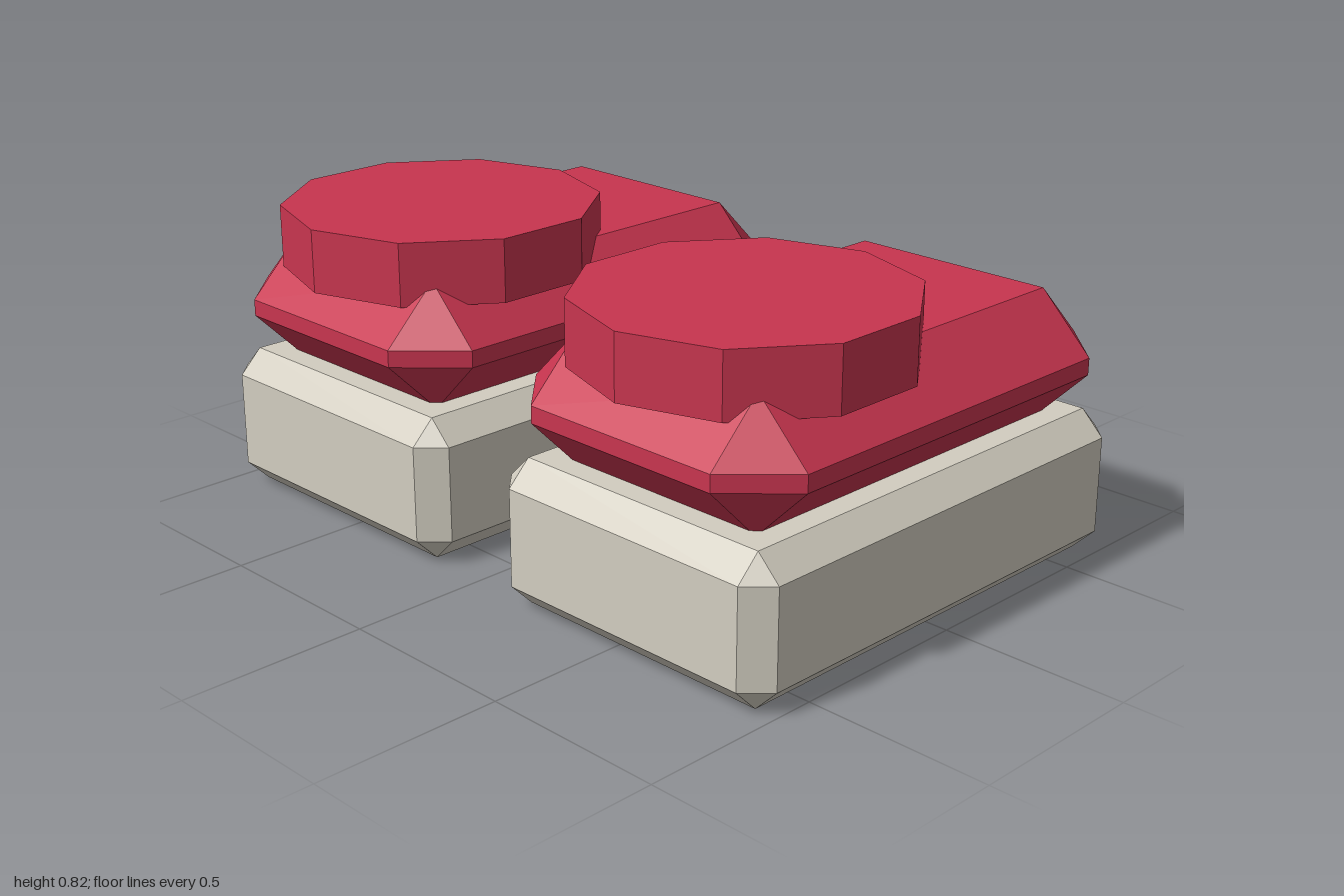
import * as THREE from 'three';
import { ConvexGeometry } from 'three/addons/geometries/ConvexGeometry.js';

const red = new THREE.MeshStandardMaterial({ color: 0xc8354f });
red.name = 'red upper';
const stone = new THREE.MeshStandardMaterial({ color: 0xd2cdc0 });
stone.name = 'pale grey sole';

// Box with every edge chamfered by b, and a triangle at every corner
function chamferedBox(w, h, d, b) {
  const points = [];
  for (const sx of [-1, 1]) for (const sy of [-1, 1]) for (const sz of [-1, 1]) {
    const x = w / 2, y = h / 2, z = d / 2;
    points.push(
      new THREE.Vector3(sx * x, sy * (y - b), sz * (z - b)),
      new THREE.Vector3(sx * (x - b), sy * y, sz * (z - b)),
      new THREE.Vector3(sx * (x - b), sy * (y - b), sz * z)
    );
  }
  return new ConvexGeometry(points);
}

function addPart(parent, name, geometry, material, y, z) {
  const mesh = new THREE.Mesh(geometry, material);
  mesh.name = name;
  mesh.position.set(0, y, z);
  parent.add(mesh);
}

export function createModel() {
  const model = new THREE.Group();
  model.name = 'pairOfShoes';

  const sole = chamferedBox(0.88, 0.388, 1.355, 0.064);
  const upper = chamferedBox(0.88, 0.345, 1.355, 0.15);
  // Ten-sided disc with a corner pointing forward
  const disc = new THREE.CylinderGeometry(0.43, 0.43, 0.17, 10).toNonIndexed();
  disc.computeVertexNormals();

  for (const [name, side] of [['leftShoe', 1], ['rightShoe', -1]]) {
    const shoe = new THREE.Group();
    shoe.name = name;
    shoe.position.x = side * 0.56;
    addPart(shoe, 'sole', sole, stone, 0.194, -0.004);
    addPart(shoe, 'upper', upper, red, 0.5395, -0.004);
    addPart(shoe, 'toeDisc', disc, red, 0.734, 0.25);
    model.add(shoe);
  }
  return model;
}
